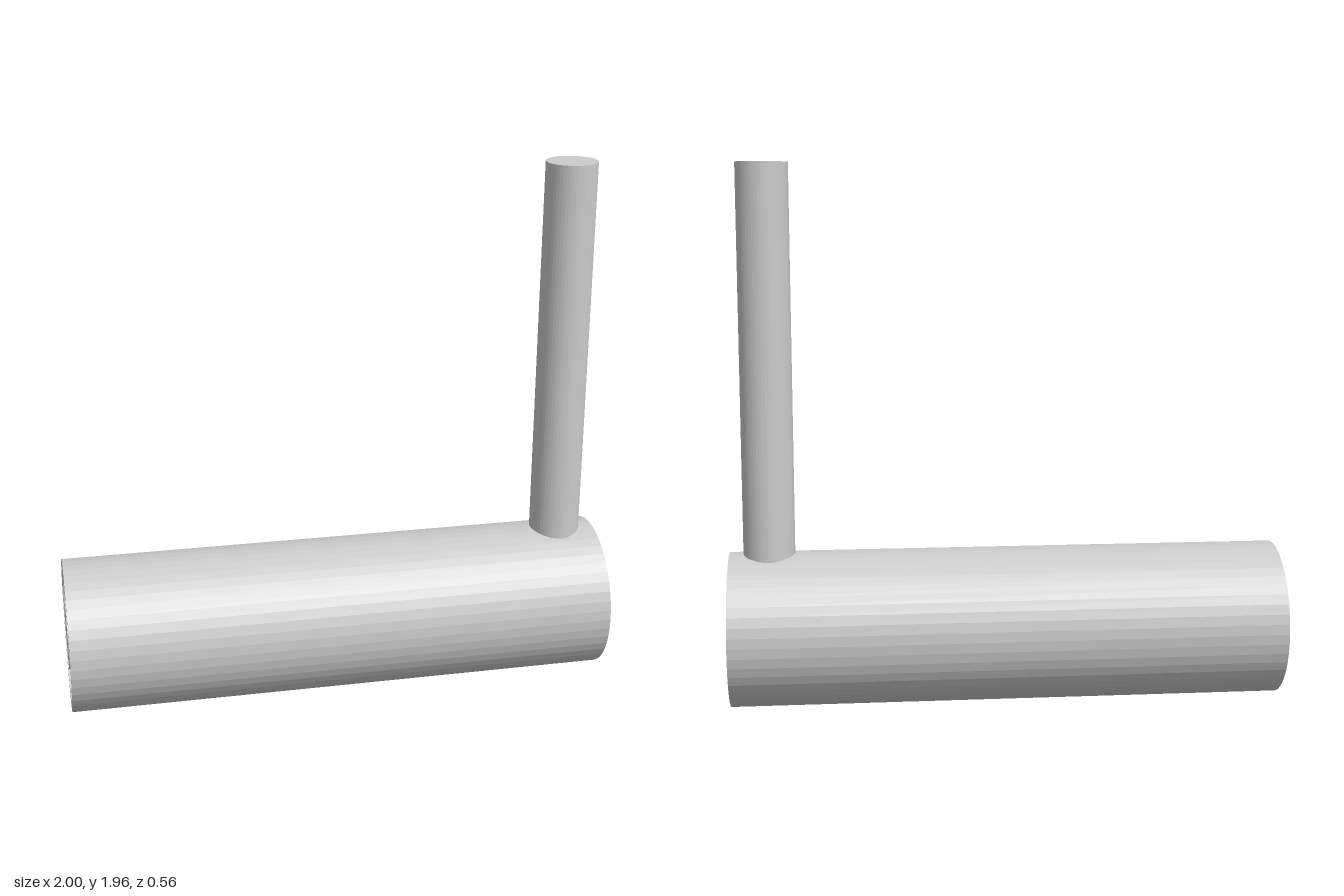
import * as THREE from 'three';

const SIDES = 48;
const BARREL_R = 0.28;

export function createModel() {
  const model = new THREE.Group();
  const material = new THREE.MeshStandardMaterial({ color: 0xcccccc, flatShading: true });

  const add = (name, geometry) => {
    const mesh = new THREE.Mesh(geometry, material);
    mesh.name = name;
    model.add(mesh);
    return mesh;
  };

  // Hollow barrel lying along x: open at -x, closed at +x
  const profile = [
    [0, 0.98], [0.243, 0.98], [0.243, -1], [BARREL_R, -1], [BARREL_R, 1], [0, 1],
  ].map(([r, h]) => new THREE.Vector2(r, h));
  const barrel = add('barrel', new THREE.LatheGeometry(profile, SIDES));
  barrel.rotation.z = -Math.PI / 2;
  barrel.position.y = BARREL_R;

  // Solid rod down the middle of the barrel, flush with the open end
  const core = add('coreRod', new THREE.CylinderGeometry(0.125, 0.125, 1.985, SIDES));
  core.rotation.z = -Math.PI / 2;
  core.position.set(-0.0075, BARREL_R, 0);

  // Upright post, its foot sunk into the barrel wall
  const foot = 0.53, top = 1.957;
  const post = add('post', new THREE.CylinderGeometry(0.093, 0.093, top - foot, SIDES));
  post.position.set(0.857, (foot + top) / 2, 0);

  return model;
}
